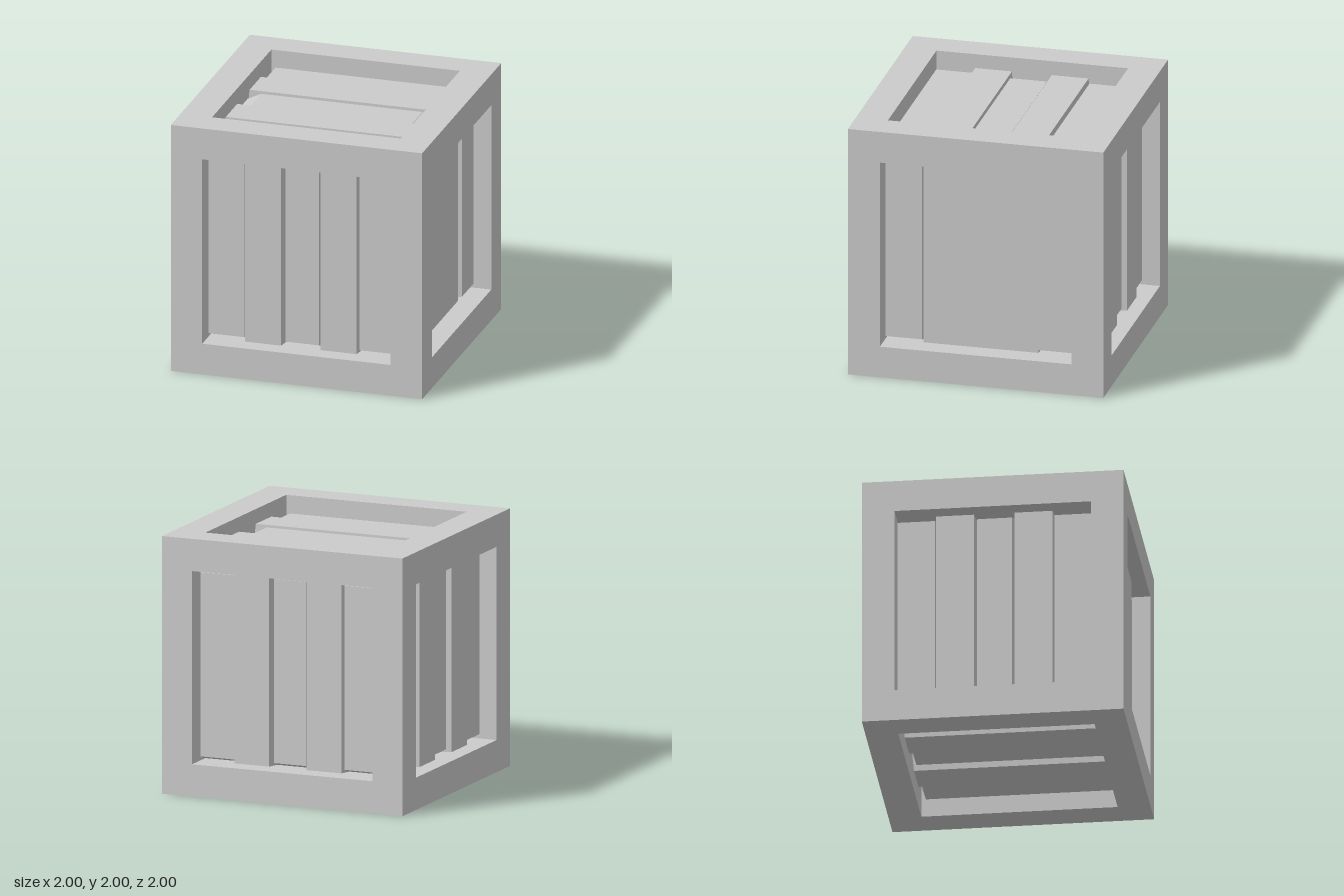
import * as THREE from 'three';
import { mergeGeometries } from 'three/addons/utils/BufferGeometryUtils.js';

const material = new THREE.MeshStandardMaterial({ color: 0xcccccc, flatShading: true });
const BEAM = 0.25; // width and depth of the frame beams
const HOLE = 0.75; // half width of each opening

// Square frame border with the four inward-facing walls of its opening
function frameGeometry() {
  const square = (r) => [[-r, -r], [r, -r], [r, r], [-r, r]].map(([x, y]) => new THREE.Vector2(x, y));
  const shape = new THREE.Shape(square(1));
  shape.holes.push(new THREE.Path(square(HOLE).reverse()));
  const parts = [new THREE.ShapeGeometry(shape).translate(0, 0, 1)];
  for (let k = 0; k < 4; k++) {
    parts.push(new THREE.PlaneGeometry(2 * HOLE, BEAM)
      .rotateX(-Math.PI / 2)
      .translate(0, -HOLE, 1 - BEAM / 2)
      .rotateZ(k * Math.PI / 2));
  }
  return mergeGeometries(parts);
}

// Plank running along local y; its face lies `depth` below the frame
// and is inset from the base on the sides and ends
function plank(name, x, width, depth, sideInset = 0, endInset = 0, base = BEAM) {
  const thick = base - depth;
  const geo = new THREE.BoxGeometry(width, 2 * HOLE, thick);
  const pos = geo.attributes.position;
  for (let i = 0; i < pos.count; i++) {
    if (pos.getZ(i) < 0) continue;
    pos.setX(i, pos.getX(i) - Math.sign(pos.getX(i)) * sideInset);
    pos.setY(i, pos.getY(i) - Math.sign(pos.getY(i)) * endInset);
  }
  geo.computeVertexNormals();
  const mesh = new THREE.Mesh(geo, material);
  mesh.name = name;
  mesh.position.set(x, 0, 1 - depth - thick / 2);
  return mesh;
}

const outerPlanks = () => [-0.6, 0.6].map((x) => plank('outerPlank', x, 0.3, 0.14, 0.007, 0.035));
const raisedPlanks = () => [-0.3, 0.3].map((x) => plank('raisedPlank', x, 0.3, 0.108, 0.006, 0.013));

// The three ways a side is filled
const fillings = {
  planked: () => [...outerPlanks(), ...raisedPlanks(),
    plank('middlePlank', 0, 0.3, 0.145, 0.018, 0.035)],
  panelled: () => [...outerPlanks(), plank('centrePanel', 0, 0.9, 0.17)],
  lid: () => [...outerPlanks(), ...raisedPlanks(),
    plank('middlePlankBase', 0, 0.3, 0.18),
    plank('middlePlank', 0, 0.3, 0.125, 0.006, 0.11, 0.18)],
};

export function createModel() {
  const crate = new THREE.Group();
  crate.name = 'crate';
  const frame = frameGeometry();
  const q = Math.PI / 2;
  const sides = [
    ['frontSide', 'planked', [0, 0, 0]],
    ['backSide', 'planked', [0, 2 * q, 0]],
    ['leftSide', 'panelled', [0, q, 0]],
    ['rightSide', 'planked', [0, -q, 0]],
    ['topSide', 'lid', [-q, 0, q]],
    ['bottomSide', 'planked', [q, 0, 0]],
  ];
  for (const [name, filling, rotation] of sides) {
    const side = new THREE.Group();
    side.name = name;
    const border = new THREE.Mesh(frame, material);
    border.name = 'frame';
    side.add(border, ...fillings[filling]());
    side.rotation.set(...rotation);
    side.position.y = 1;
    crate.add(side);
  }
  return crate;
}
